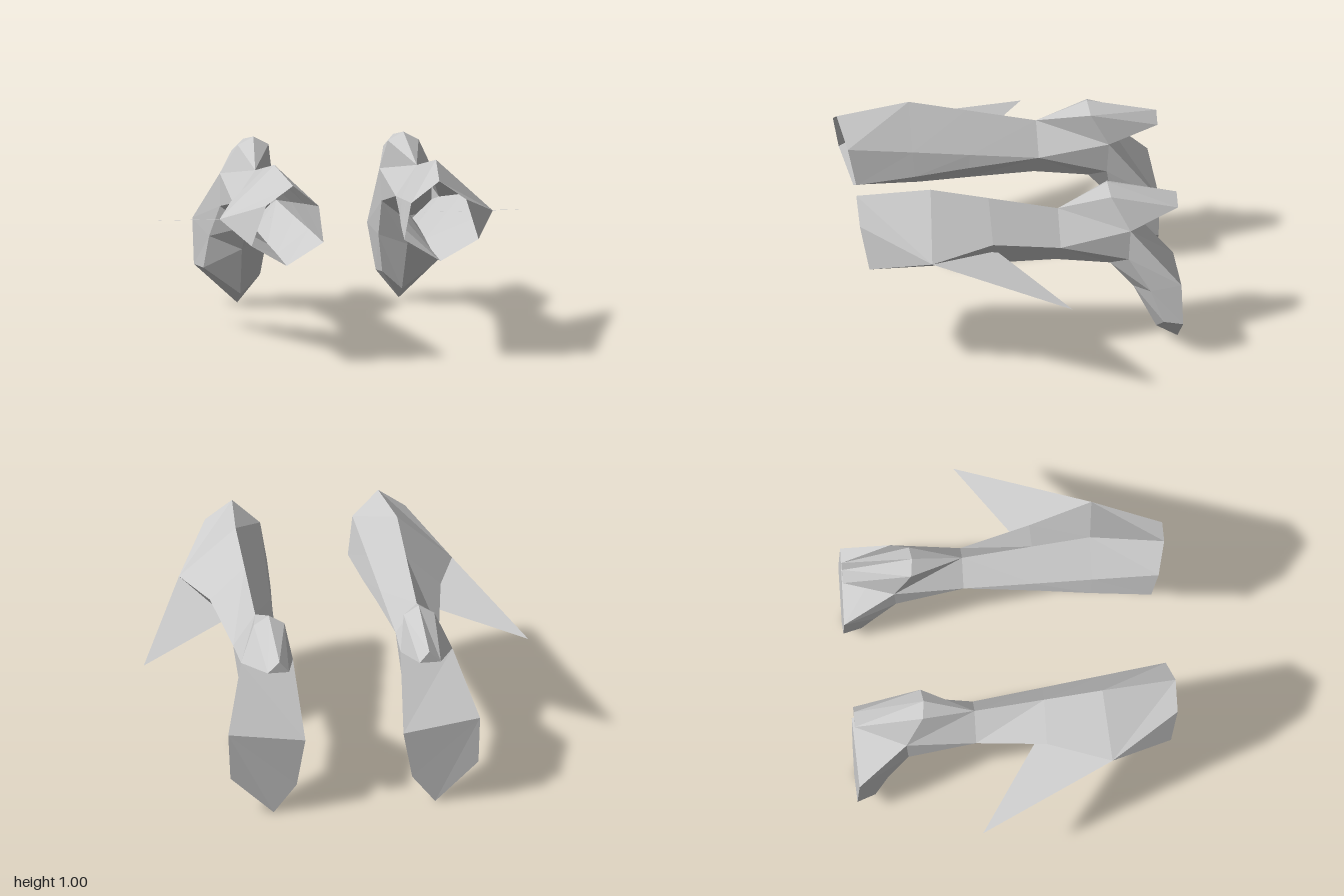
import * as THREE from 'three';

const material = new THREE.MeshStandardMaterial({ color: 0xcccccc, flatShading: true, side: THREE.DoubleSide });

// Faceted mesh from polygons (lists of corner points); collapsed triangles are skipped.
function facets(name, polygons) {
  const pos = [];
  for (const p of polygons) {
    for (let i = 1; i < p.length - 1; i++) {
      const [a, b, c] = [p[0], p[i], p[i + 1]];
      if (a !== b && b !== c && a !== c) pos.push(...a, ...b, ...c);
    }
  }
  const geo = new THREE.BufferGeometry();
  geo.setAttribute('position', new THREE.Float32BufferAttribute(pos, 3));
  geo.computeVertexNormals();
  const mesh = new THREE.Mesh(geo, material);
  mesh.name = name;
  return mesh;
}

// Quads between successive closed rings.
function loft(rings) {
  const polys = [];
  for (let r = 0; r < rings.length - 1; r++) {
    const a = rings[r], b = rings[r + 1];
    a.forEach((p, j) => {
      const k = (j + 1) % a.length;
      polys.push([p, a[k], b[k], b[j]]);
    });
  }
  return polys;
}

function createArm() {
  const arm = new THREE.Group();

  // Wrist ring and elbow points
  const wristTop = [0.42, 0.83, -0.21], wristBottom = [0.42, 0.52, -0.2];
  const wristOut = [0.535, 0.66, -0.21], wristIn = [0.31, 0.67, -0.21];
  const elbow = [0.71, 0.73, 0.48], behindElbow = [0.6, 0.75, 0.15];

  // Forearm: open sleeve from the slanted front rim back to the wrist
  arm.add(facets('forearm', loft([
    [[0.38, 0.97, 0.83], [0.52, 0.87, 0.83], [0.59, 0.65, 0.79], [0.4, 0.53, 0.74], [0.21, 0.65, 0.75], [0.24, 0.85, 0.79]],
    [[0.42, 1.0, 0.45], elbow, elbow, [0.4, 0.52, 0.4], [0.24, 0.656, 0.44], [0.264, 0.79, 0.45]],
    [[0.42, 0.923, 0.15], behindElbow, behindElbow, [0.41, 0.52, 0.15], [0.273, 0.663, 0.16], [0.285, 0.735, 0.15]],
    [wristTop, wristOut, wristOut, wristBottom, wristIn, wristIn],
  ])));

  // Elbow fin: thin triangle passing into the sleeve
  arm.add(facets('elbowFin', [[elbow, [1, 0.58, -0.21], [0.39, 0.67, 0.2]]]));

  // Points on the centre line of the hand and the prong
  const knuckleTop = [0.39, 0.95, -0.47], tipTop = [0.39, 0.86, -0.83];
  const palmTop = [0.42, 0.475, -0.48], palmMid = [0.43, 0.33, -0.6];
  const palmLow = [0.42, 0.07, -0.72], handEnd = [0.42, 0, -0.83];

  // Matching points on the outer and inner side
  const outer = {
    wrist: wristOut, knuckle: [0.47, 0.905, -0.48], crotch: [0.55, 0.74, -0.57], heel: [0.55, 0.57, -0.56],
    mid: [0.59, 0.39, -0.67], low: [0.61, 0.21, -0.735],
    backTop: [0.655, 0.455, -0.82], backLow: [0.645, 0.21, -0.83], tip: [0.45, 0.8, -0.83],
  };
  const inner = {
    wrist: wristIn, knuckle: [0.31, 0.905, -0.48], crotch: [0.28, 0.74, -0.57], heel: [0.29, 0.57, -0.56],
    mid: [0.29, 0.37, -0.67], low: [0.32, 0.16, -0.735],
    backTop: [0.255, 0.4, -0.83], backLow: [0.3, 0.15, -0.83], tip: [0.34, 0.8, -0.83],
  };

  const hand = [], prong = [];
  for (const s of [outer, inner]) {
    const turn = (polys) => (s === outer ? polys : polys.map((p) => [...p].reverse()));
    hand.push(...turn([
      // Wrist to knuckles
      [wristTop, s.knuckle, knuckleTop],
      [wristTop, s.crotch, s.knuckle],
      [wristTop, s.wrist, s.crotch],
      [s.wrist, s.heel, s.crotch],
      [s.wrist, palmTop, s.heel],
      [s.wrist, wristBottom, palmTop],
      // Side of the hand
      [s.heel, s.backTop, s.crotch],
      [s.heel, s.mid, s.backTop],
      [s.mid, s.backLow, s.backTop],
      [s.mid, s.low, s.backLow],
      // Palm
      [palmTop, palmMid, s.mid, s.heel],
      [palmMid, palmLow, s.low, s.mid],
      [palmLow, handEnd, s.backLow, s.low],
    ]));
    prong.push(...turn([
      [knuckleTop, s.knuckle, s.tip, tipTop],
      [s.knuckle, s.crotch, s.tip],
    ]));
  }
  // Back of the hand
  hand.push(
    [outer.crotch, outer.backTop, inner.backTop, inner.crotch],
    [outer.backTop, outer.backLow, handEnd, inner.backLow, inner.backTop],
  );
  // Underside and end of the prong
  prong.push(
    [outer.tip, outer.crotch, inner.crotch, inner.tip],
    [tipTop, outer.tip, inner.tip],
  );
  arm.add(facets('hand', hand), facets('thumbProng', prong));
  return arm;
}

export function createModel() {
  const model = new THREE.Group();
  model.name = 'armPair';
  const left = createArm();
  left.name = 'leftArm';
  const right = createArm();
  right.name = 'rightArm';
  right.scale.x = -1;
  model.add(left, right);
  return model;
}
